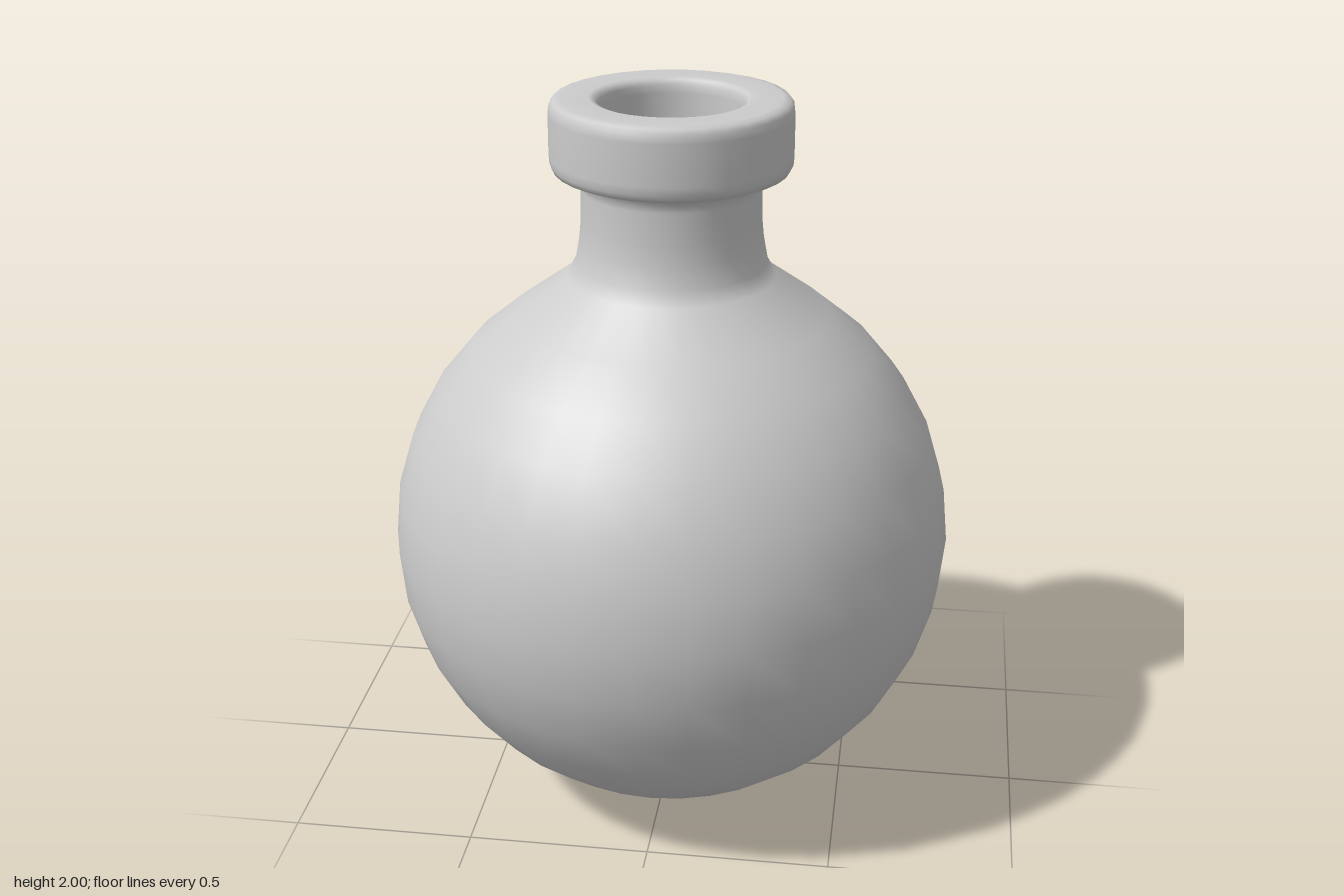
import * as THREE from 'three';

const SEGMENTS = 32;
const STEP = Math.PI / 16;

// Points on a circle of radius r around (0, cy), from ring a to ring b (0 = bottom pole)
function arc(r, cy, a, b) {
  const pts = [];
  const d = Math.sign(b - a);
  for (let i = a; i !== b + d; i += d) {
    pts.push([i === 0 ? 0 : r * Math.sin(i * STEP), cy - r * Math.cos(i * STEP)]);
  }
  return pts;
}

export function createModel() {
  const group = new THREE.Group();
  group.name = 'roundFlask';
  const material = new THREE.MeshStandardMaterial({ color: 0xcccccc, side: THREE.DoubleSide });

  const profile = [
    // outer bulb
    ...arc(0.772, 0.772, 0, 13),
    // shoulder fillet and neck
    [0.28, 1.52], [0.257, 1.56], [0.246, 1.62], [0.241, 1.67], [0.24, 1.76],
    // underside of the lip
    [0.243, 1.78], [0.255, 1.797], [0.275, 1.803], [0.295, 1.805],
    // rounded lip
    [0.311, 1.812], [0.319, 1.828], [0.321, 1.85], [0.321, 1.96],
    [0.318, 1.982], [0.309, 1.995], [0.29, 2],
    // mouth edge
    [0.215, 2], [0.2, 1.995], [0.193, 1.982], [0.191, 1.96],
    // inner neck
    [0.191, 1.66], [0.196, 1.58], [0.215, 1.51], [0.26, 1.455],
    // inner bulb
    ...arc(0.725, 0.772, 13, 0),
  ].map(([x, y]) => new THREE.Vector2(x, y));

  const flask = new THREE.Mesh(new THREE.LatheGeometry(profile, SEGMENTS), material);
  flask.name = 'flaskBody';
  group.add(flask);
  return group;
}
